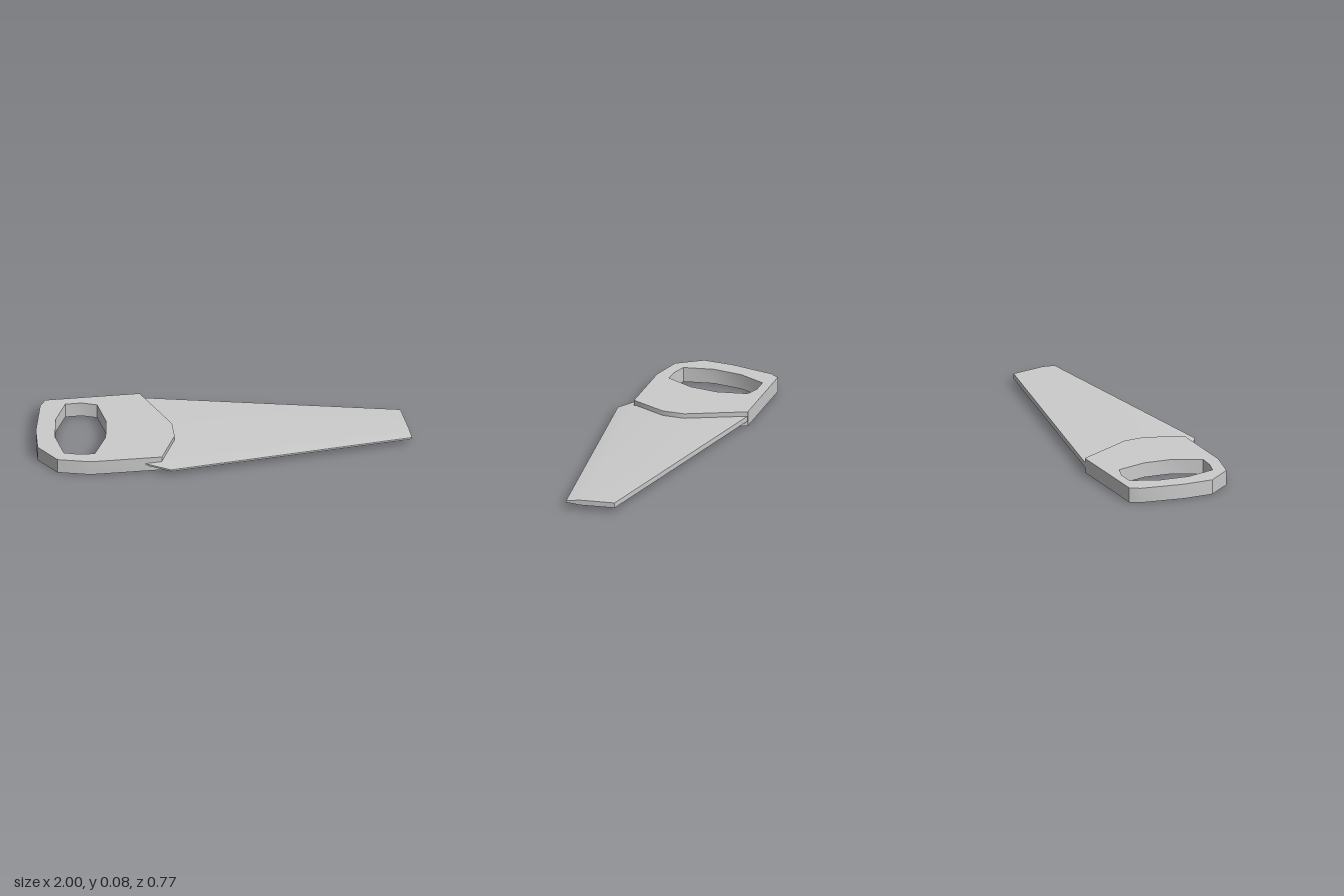
import * as THREE from 'three';
import { toCreasedNormals } from 'three/addons/utils/BufferGeometryUtils.js';

const material = new THREE.MeshStandardMaterial({ color: 0xcccccc });
const THICK = 0.083; // handle thickness
const CREASE = 0.5; // edges sharper than this stay hard

// Points are [x, z] as seen from above
const toPoints = (list) => list.map(([x, z]) => new THREE.Vector2(x, -z));

function makePart(name, geometry) {
  const mesh = new THREE.Mesh(toCreasedNormals(geometry, CREASE), material);
  mesh.name = name;
  return mesh;
}

// Flat handle with a grip opening, wound opposite to the outline
function makeHandle() {
  const shape = new THREE.Shape(toPoints([
    [-0.85, -0.387], [-0.34, -0.33], [-0.24, 0], [-0.255, 0.12], [-0.37, 0.305],
    [-0.755, 0.26], [-0.925, 0.197], [-1, 0.053], [-0.97, -0.11], [-0.89, -0.34],
  ]));
  shape.holes.push(new THREE.Path(toPoints([
    [-0.84, -0.19], [-0.885, -0.025], [-0.875, 0.14], [-0.8, 0.172], [-0.715, 0.187],
    [-0.62, 0.045], [-0.58, -0.105], [-0.59, -0.275], [-0.665, -0.312], [-0.755, -0.322],
  ])));
  const geometry = new THREE.ExtrudeGeometry(shape, { depth: THICK, bevelEnabled: false });
  geometry.rotateX(-Math.PI / 2);
  return makePart('handle', geometry);
}

// Tapering blade: each station holds the spine, bevel line and cutting edge
function makeBlade() {
  const stations = [
    [[-0.45, -0.25], [-0.4, 0.24], [-0.47, 0.288]],
    [[-0.34, -0.328], [-0.34, 0.305], [-0.34, 0.387]],
    [[1, 0.117], [1, 0.308], [1, 0.385]],
  ];
  const half = [0.0145, 0.0145, 0.005];
  const middle = 0.0425;
  const positions = [];
  const index = [];
  for (const s of stations) {
    s.forEach(([x, z], i) => positions.push(x, middle + half[i], z));
    for (let i = 2; i >= 0; i--) positions.push(s[i][0], middle - half[i], s[i][1]);
  }
  // Skin between neighbouring stations
  for (let s = 0; s < stations.length - 1; s++) {
    for (let i = 0; i < 6; i++) {
      const a = s * 6 + i;
      const b = s * 6 + ((i + 1) % 6);
      index.push(a, b, b + 6, a, b + 6, a + 6);
    }
  }
  // Heel and tip caps
  const tip = (stations.length - 1) * 6;
  for (const [a, b, c, d] of [[0, 1, 4, 5], [1, 2, 3, 4]]) {
    index.push(a, d, c, a, c, b);
    index.push(tip + a, tip + b, tip + c, tip + a, tip + c, tip + d);
  }
  const geometry = new THREE.BufferGeometry();
  geometry.setAttribute('position', new THREE.Float32BufferAttribute(positions, 3));
  geometry.setIndex(index);
  return makePart('blade', geometry);
}

export function createModel() {
  const group = new THREE.Group();
  group.name = 'handSaw';
  group.add(makeHandle(), makeBlade());
  return group;
}
